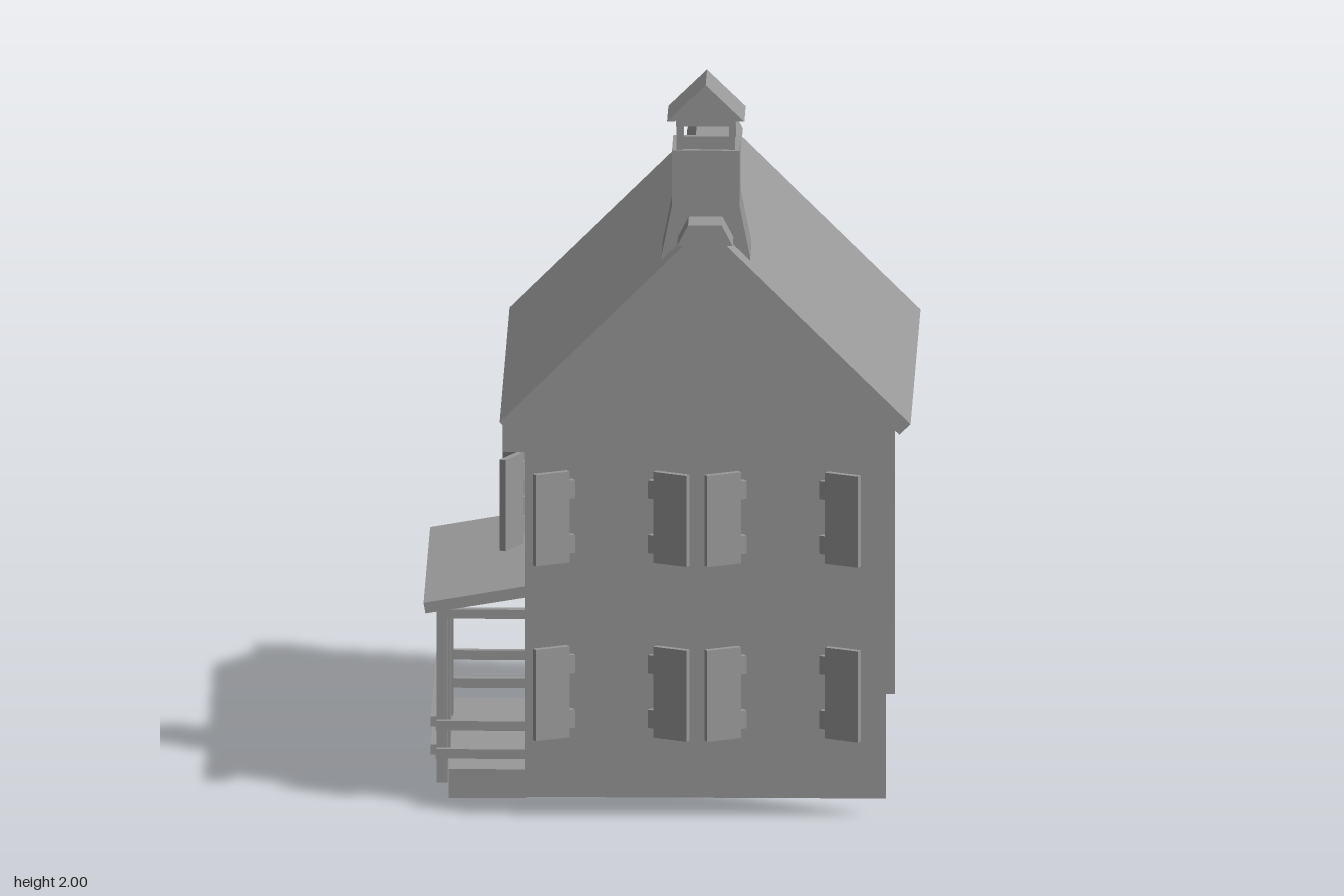
import * as THREE from 'three';

const COLOR = 0x999999;
const grey = new THREE.MeshStandardMaterial({ color: COLOR, flatShading: true });
const thin = new THREE.MeshStandardMaterial({ color: COLOR, flatShading: true, side: THREE.DoubleSide });

const CX = 0.1025; // ridge line
const LEFT = -0.38, RIGHT = 0.585, BASE = 0.05, HALF_Z = 0.6, PEAK = 1.58;

export function createModel() {
  const root = new THREE.Group();
  root.name = 'house';

  function add(name, geometry, material = grey, parent = root) {
    const mesh = new THREE.Mesh(geometry, material);
    mesh.name = name;
    parent.add(mesh);
    return mesh;
  }
  // box given by its limits on each axis
  function box(name, x0, x1, y0, y1, z0, z1, parent = root) {
    const mesh = add(name, new THREE.BoxGeometry(x1 - x0, y1 - y0, z1 - z0), grey, parent);
    mesh.position.set((x0 + x1) / 2, (y0 + y1) / 2, (z0 + z1) / 2);
  }
  const outline = (pts) => new THREE.Shape(pts.map(([x, y]) => new THREE.Vector2(x, y)));
  // outline in x and y, extended from z0 to z1
  function prism(name, pts, z0, z1, parent = root) {
    const geometry = new THREE.ExtrudeGeometry(outline(pts), { depth: z1 - z0, bevelEnabled: false });
    geometry.translate(0, 0, z0);
    add(name, geometry, grey, parent);
  }

  // thin gable walls and the single long wall; the other long side is open
  const gable = outline([
    [LEFT, BASE], [RIGHT, BASE], [RIGHT, PEAK - (RIGHT - CX)], [CX, PEAK], [LEFT, PEAK - (CX - LEFT)],
  ]);
  for (const s of [1, -1]) {
    const geometry = new THREE.ShapeGeometry(gable);
    add(s > 0 ? 'frontWall' : 'backWall', geometry, thin).position.z = s * HALF_Z;
  }
  const sideWall = add('sideWall', new THREE.PlaneGeometry(2 * HALF_Z, 1.05), thin);
  sideWall.rotation.y = -Math.PI / 2;
  sideWall.position.set(LEFT, BASE + 0.525, 0);

  // roof slopes as one chevron, with a ridge cap
  prism('roof', [
    [CX - 0.549, 1.092], [CX - 0.519, 1.063], [CX, PEAK], [CX + 0.519, 1.063], [CX + 0.549, 1.092], [CX, 1.636],
  ], -0.66, 0.658);
  prism('ridgeCap', [
    [CX - 0.074, 1.583], [CX + 0.074, 1.583], [CX + 0.045, 1.639], [CX - 0.045, 1.639],
  ], -0.675, 0.675);

  // eave brackets
  for (let i = 0; i < 5; i++) {
    const z = -0.47 + i * 0.245;
    box('eaveBracket', -0.44, LEFT, 0.98, 1.07, z - 0.022, z + 0.022);
  }

  // shutter: hinge tabs at local x = 0, leaf running outward along +x
  const leaf = new THREE.ExtrudeGeometry(outline([
    [0.016, 0], [0.116, 0], [0.116, 0.25], [0.016, 0.25], [0.016, 0.225], [0, 0.225], [0, 0.175],
    [0.016, 0.175], [0.016, 0.075], [0, 0.075], [0, 0.025], [0.016, 0.025],
  ]), { depth: 0.018, bevelEnabled: false });
  leaf.translate(0, 0, -0.009);
  // a pair stands half open either side of a window
  function shutterPair(y) {
    const pair = new THREE.Group();
    pair.name = 'shutterPair';
    for (const s of [1, -1]) {
      const hinge = new THREE.Group();
      hinge.name = 'shutter';
      hinge.position.set(s * 0.102, y, 0.0095);
      hinge.rotation.y = s > 0 ? -0.47 : Math.PI + 0.47;
      add('shutterLeaf', leaf, grey, hinge);
      pair.add(hinge);
    }
    root.add(pair);
    return pair;
  }
  for (const x of [-0.148, 0.31]) {
    for (const y of [0.22, 0.7]) shutterPair(y).position.set(x, 0, HALF_Z);
  }
  for (const z of [-0.285, 0.29]) {
    const pair = shutterPair(0.7);
    pair.position.set(LEFT, 0, z);
    pair.rotation.y = -Math.PI / 2;
  }

  // porch: joists, deck, posts, rails and a lean-to roof
  const porch = new THREE.Group();
  porch.name = 'porch';
  root.add(porch);
  box('porchDeck', -0.588, LEFT, 0.045, 0.08, -0.41, 0.41, porch);
  for (const z of [-0.385, 0, 0.385]) {
    box('porchJoist', -0.588, LEFT, 0, 0.045, z - 0.021, z + 0.021, porch);
    box('porchPost', -0.62, -0.59, 0.04, 0.52, z - 0.014, z + 0.014, porch);
  }
  box('porchBeam', -0.62, -0.59, 0.49, 0.515, -0.4, 0.4, porch);
  for (const z of [-0.385, 0.385]) {
    box('porchSideBeam', -0.62, LEFT, 0.49, 0.515, z - 0.012, z + 0.012, porch);
  }
  for (const y of [0.11, 0.187]) {
    box('frontRail', -0.635, -0.62, y + 0.012, y + 0.04, -0.42, 0.42, porch);
    for (const s of [1, -1]) {
      const z = s * 0.407;
      box('sideRail', -0.622, LEFT, y, y + 0.026, z - 0.009, z + 0.009, porch);
    }
  }
  prism('porchRoof', [
    [-0.654, 0.542], [-0.649, 0.513], [-0.374, 0.559], [-0.381, 0.589],
  ], -0.435, 0.435, porch);

  // chimney: square, flared across its width only, hollow at both ends
  const chimney = new THREE.Group();
  chimney.name = 'chimney';
  chimney.position.set(CX, 0, 0.482);
  root.add(chimney);
  const profile = [[0.118, 1.14], [0.118, 1.53], [0.09, 1.67], [0.09, 1.82], [0.074, 1.82], [0.074, 1.74], [0, 1.74]];
  const stack = new THREE.LatheGeometry(
    profile.map(([r, y]) => new THREE.Vector2(r * Math.SQRT2, y)), 4, Math.PI / 4);
  const p = stack.attributes.position;
  for (let i = 0; i < p.count; i++) p.setZ(i, THREE.MathUtils.clamp(p.getZ(i), -0.09, 0.09));
  add('chimneyStack', stack, thin, chimney);

  // chimney hood on four posts
  for (const x of [-0.07, 0.07]) {
    for (const z of [-0.075, 0.075]) {
      box('hoodPost', x - 0.008, x + 0.008, 1.8, 1.895, z - 0.008, z + 0.008, chimney);
    }
    box('hoodSidePlate', x - 0.01, x + 0.01, 1.885, 1.9, -0.085, 0.085, chimney);
  }
  for (const z of [-0.075, 0.075]) {
    prism('hoodGable', [[-0.08, 1.885], [0.08, 1.885], [0.08, 1.902], [0, 1.978], [-0.08, 1.902]], z - 0.008, z + 0.008, chimney);
  }
  prism('hoodRoof', [
    [-0.103, 1.9], [-0.082, 1.9], [0, 1.977], [0.082, 1.9], [0.103, 1.9], [0, 2],
  ], -0.09, 0.09, chimney);

  return root;
}
